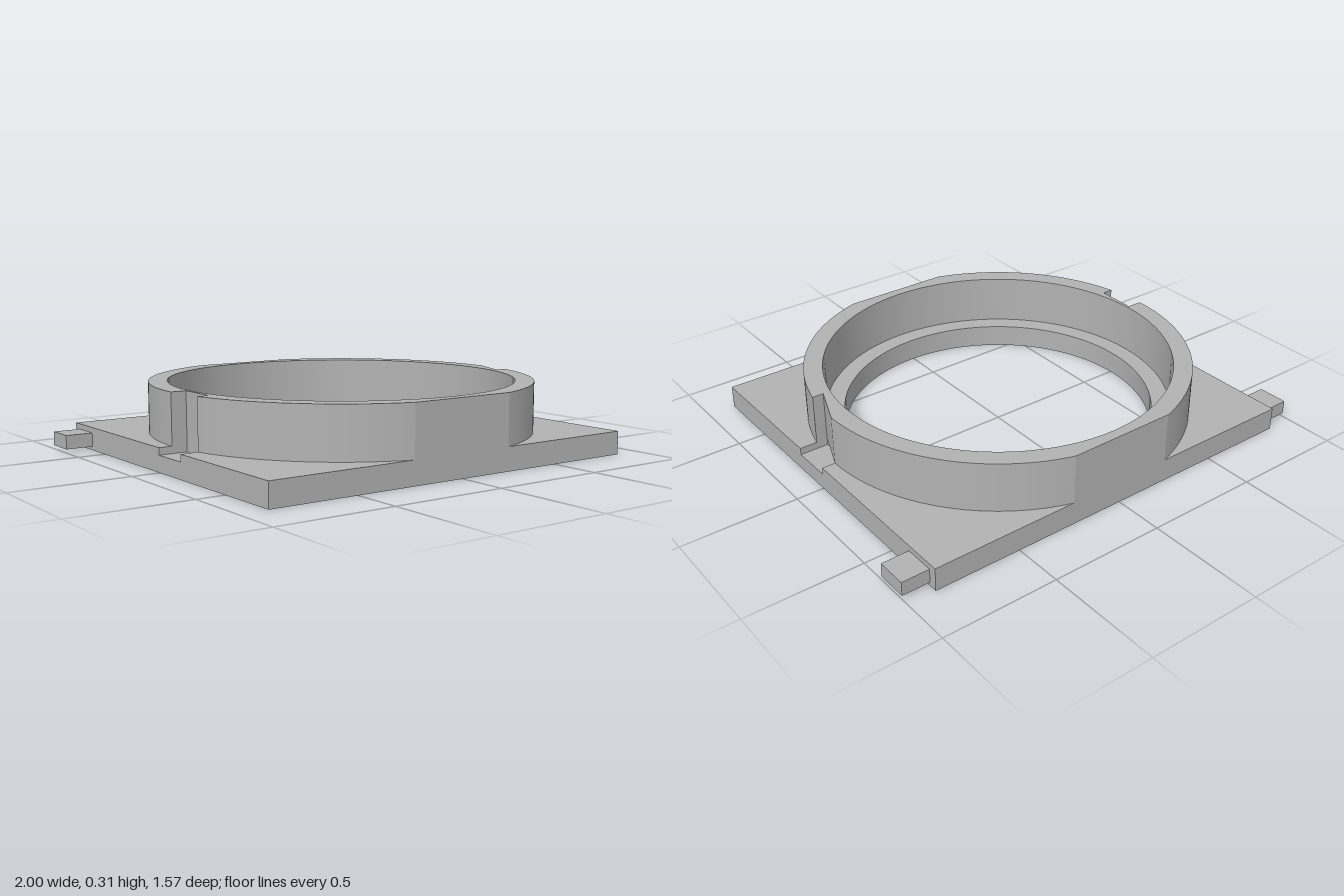
import * as THREE from 'three';
import { toCreasedNormals } from 'three/addons/utils/BufferGeometryUtils.js';

const W = 0.88, D = 0.787;                  // half width and half depth of the plate
const LEDGE = 0.1, TOP = 0.315;             // plate top and ring top
const NOTCH_X = 0.755, NOTCH_Y = 0.07;      // notch inner face and floor
const N0 = 0.003, N1 = -0.172;              // notch ends, as shape y (= -z)
const R_OUT = 0.822, R_IN = 0.742, R_HOLE = 0.663;

export function createModel() {
  const group = new THREE.Group();
  const grey = new THREE.MeshStandardMaterial({ color: 0xb2b2b2 });
  grey.name = 'grey plastic';

  const add = (name, geometry) => {
    const mesh = new THREE.Mesh(geometry, grey);
    mesh.name = name;
    group.add(mesh);
    return mesh;
  };

  // Extrudes a plan outline with a round opening from y0 up to y1
  const slab = (name, shape, radius, y0, y1) => {
    const hole = new THREE.Path();
    hole.absarc(0, 0, radius, 0, Math.PI * 2, true);
    shape.holes.push(hole);
    const geo = new THREE.ExtrudeGeometry(shape, { depth: y1 - y0, bevelEnabled: false, curveSegments: 80 });
    geo.rotateX(-Math.PI / 2).translate(0, y0, 0);
    return add(name, toCreasedNormals(geo, 0.2));
  };

  const polygon = (points) => new THREE.Shape(points.map(([x, y]) => new THREE.Vector2(x, y)));

  // Base plate, with the side notches cut into its upper layer
  slab('basePlateLower', polygon([[-W, -D], [W, -D], [W, D], [-W, D]]), R_HOLE, 0, NOTCH_Y);
  slab('basePlateUpper', polygon([
    [-W, -D], [W, -D], [W, N1], [NOTCH_X, N1], [NOTCH_X, N0], [W, N0],
    [W, D], [-W, D], [-W, N0], [-NOTCH_X, N0], [-NOTCH_X, N1], [-W, N1],
  ]), R_HOLE, NOTCH_Y, LEDGE);

  // Raised collar: trimmed flat at front and back, notched on both sides
  const flat = Math.asin(D / R_OUT), a0 = Math.asin(N0 / R_OUT), a1 = Math.asin(-N1 / R_OUT);
  const collar = new THREE.Shape();
  collar.moveTo(NOTCH_X, N0);
  collar.absarc(0, 0, R_OUT, a0, flat, false);
  collar.absarc(0, 0, R_OUT, Math.PI - flat, Math.PI - a0, false);
  collar.lineTo(-NOTCH_X, N0);
  collar.lineTo(-NOTCH_X, N1);
  collar.absarc(0, 0, R_OUT, Math.PI + a1, Math.PI + flat, false);
  collar.absarc(0, 0, R_OUT, Math.PI * 2 - flat, Math.PI * 2 - a1, false);
  collar.lineTo(NOTCH_X, N1);
  collar.closePath();
  slab('collar', collar, R_IN, LEDGE, TOP);

  // Small pegs at the back of each side
  for (const side of [1, -1]) {
    const peg = add(side > 0 ? 'leftPeg' : 'rightPeg', new THREE.BoxGeometry(1 - W, 0.06, 0.132));
    peg.position.set(side * (1 + W) / 2, 0.046, -0.686);
  }
  return group;
}
